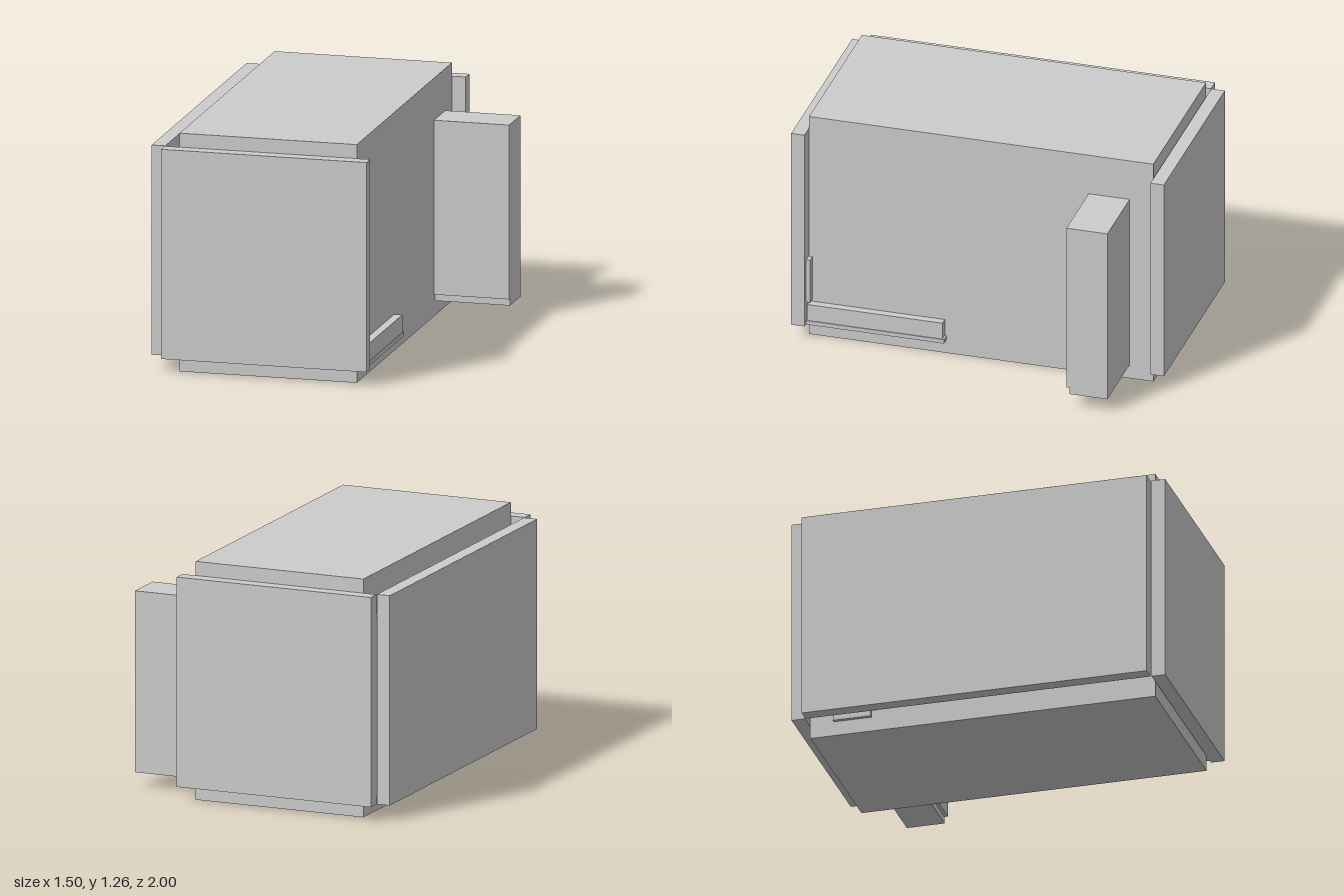
import * as THREE from 'three';

export function createModel() {
  const group = new THREE.Group();
  const grey = new THREE.MeshStandardMaterial({ color: 0xcccccc });
  grey.name = 'light grey';

  // Box from its limits along each axis
  const box = (name, [x0, x1], [y0, y1], [z0, z1]) => {
    const mesh = new THREE.Mesh(new THREE.BoxGeometry(x1 - x0, y1 - y0, z1 - z0), grey);
    mesh.name = name;
    mesh.position.set((x0 + x1) / 2, (y0 + y1) / 2, (z0 + z1) / 2);
    group.add(mesh);
  };

  // Main body
  box('body', [-0.6, 0.345], [0, 1.26], [-0.922, 0.925]);

  // Panels standing proud of the body
  const panelHeight = [0.078, 1.187];
  box('frontPanel', [-0.677, 0.417], panelHeight, [0.928, 1]);
  box('backPanel', [-0.677, 0.417], panelHeight, [-1, -0.928]);
  box('sidePanel', [-0.75, -0.677], panelHeight, [-0.925, 0.922]);

  // Cross block passing through the body, with a recessed foot
  box('crossBlock', [-0.62, 0.745], [0.115, 1.037], [-0.795, -0.575]);
  box('crossBlockFoot', [-0.62, 0.745], [0.078, 0.115], [-0.795, -0.593]);

  // Low rail and short post on the left side
  box('sideRail', [0.345, 0.388], [0.1, 0.192], [0.197, 0.922]);
  box('sideRailBase', [0.345, 0.393], [0.078, 0.1], [0.187, 0.928]);
  box('sidePost', [0.345, 0.388], [0.205, 0.45], [0.907, 0.928]);

  return group;
}
